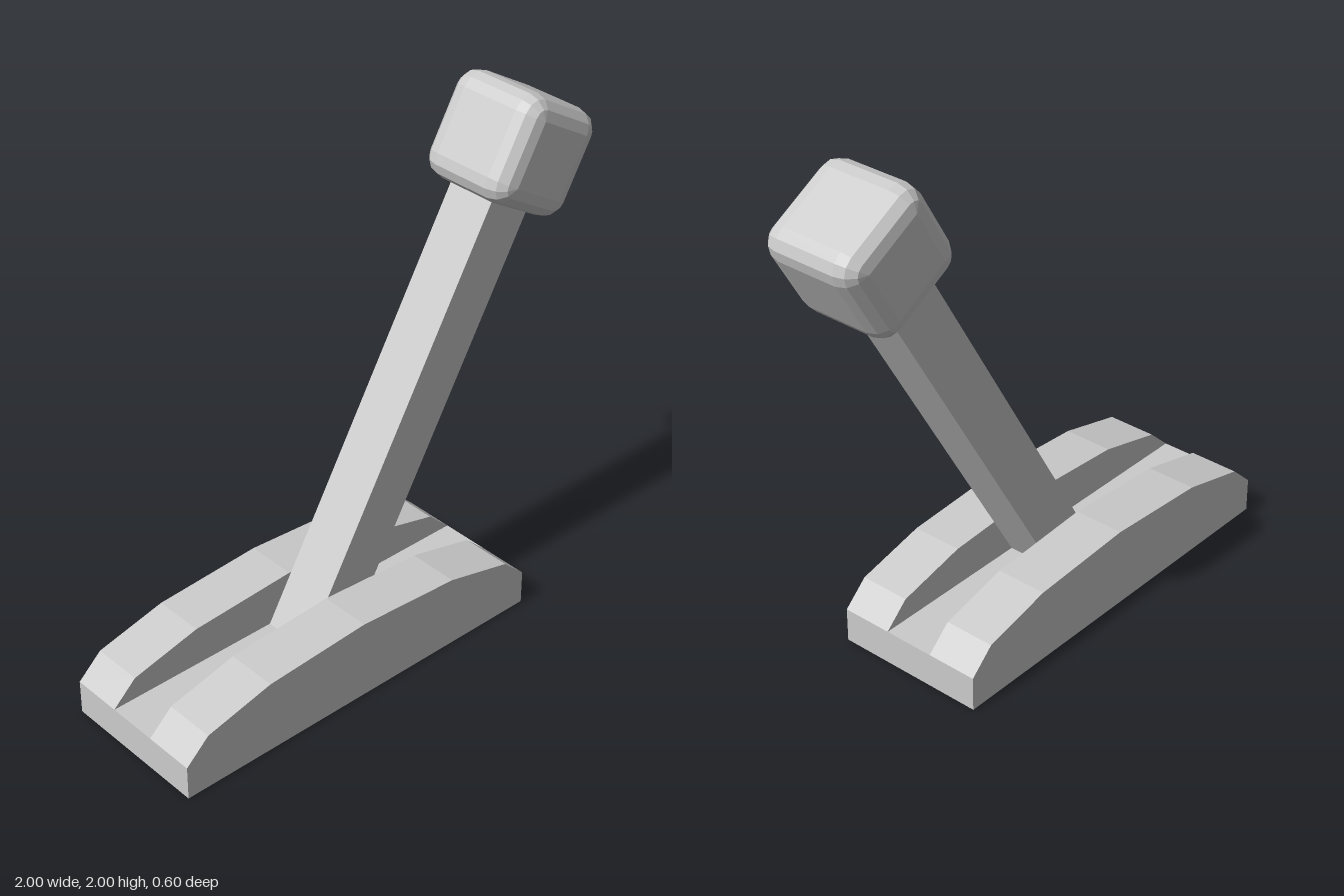
import * as THREE from 'three';
import { ConvexGeometry } from 'three/addons/geometries/ConvexGeometry.js';

const material = new THREE.MeshStandardMaterial({ color: 0xcccccc, flatShading: true });

function part(name, geometry, parent) {
  const mesh = new THREE.Mesh(geometry, material);
  mesh.name = name;
  parent.add(mesh);
  return mesh;
}

// Cube with bevelled edges: the hull of a coarse sphere octant at each corner
function roundedCube(size, radius, steps) {
  const inner = size / 2 - radius;
  const points = [];
  for (const sx of [-1, 1]) for (const sy of [-1, 1]) for (const sz of [-1, 1]) {
    for (let i = 0; i <= steps; i++) {
      const lat = (i / steps) * Math.PI / 2;
      const count = i === steps ? 0 : steps;
      for (let j = 0; j <= count; j++) {
        const lon = (j / steps) * Math.PI / 2;
        points.push(new THREE.Vector3(
          sx * (inner + radius * Math.cos(lat) * Math.cos(lon)),
          sy * (inner + radius * Math.cos(lat) * Math.sin(lon)),
          sz * (inner + radius * Math.sin(lat))
        ));
      }
    }
  }
  return new ConvexGeometry(points);
}

export function createModel() {
  const model = new THREE.Group();
  model.name = 'lever';

  // Base: two arched cheeks with a flat-floored slot between them
  const base = new THREE.Group();
  base.name = 'base';
  base.position.x = -0.2;
  model.add(base);

  const half = [[0.8, 0], [0.8, 0.135], [0.705, 0.223], [0.43, 0.29]];
  const outline = [...half, [0, 0.317], ...half.map(([x, y]) => [-x, y]).reverse()];
  const profile = new THREE.Shape(outline.map(([x, y]) => new THREE.Vector2(x, y)));
  const cheek = new THREE.ExtrudeGeometry(profile, { depth: 0.2, bevelEnabled: false });
  part('frontCheek', cheek, base).position.z = 0.1;
  part('backCheek', cheek, base).position.z = -0.3;
  part('slotFloor', new THREE.BoxGeometry(1.6, 0.135, 0.2), base).position.y = 0.0675;

  // Tilted arm and knob, built upright around the pivot in the slot
  const arm = new THREE.Group();
  arm.name = 'arm';
  arm.position.set(-0.212, 0.08, 0);
  arm.rotation.z = -Math.PI / 6;
  model.add(arm);

  const length = 1.932;
  part('shaft', new THREE.BoxGeometry(0.2, length, 0.2), arm).position.y = length / 2;
  part('knob', roundedCube(0.4, 0.078, 3), arm).position.y = length;

  return model;
}
